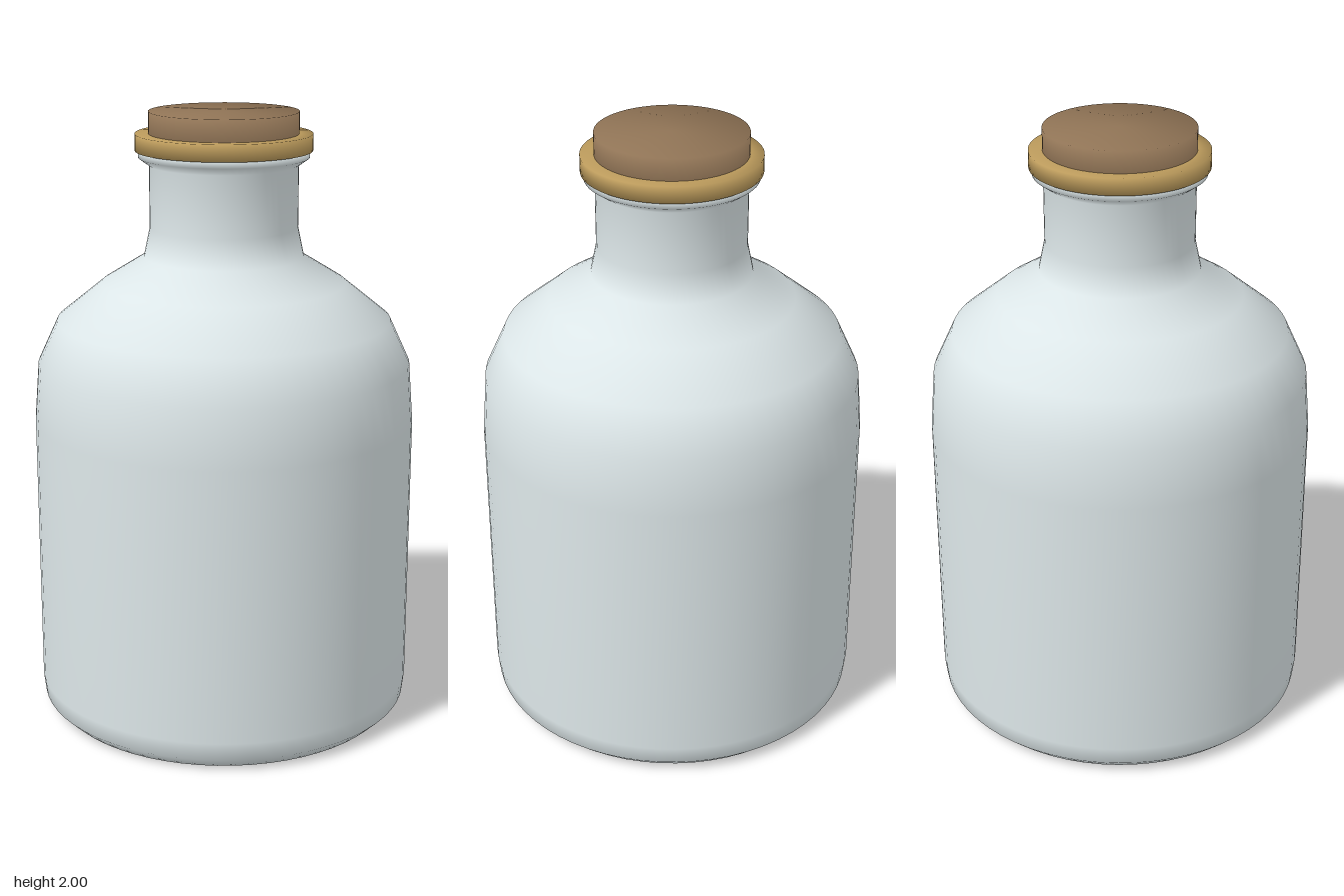
import * as THREE from 'three';

const SEGMENTS = 64;

// Smooth turned part from [radius, height] pairs, listed from bottom to top
function turned(name, color, profile) {
  const points = profile.map(([r, y]) => new THREE.Vector2(r, y));
  const mesh = new THREE.Mesh(
    new THREE.LatheGeometry(points, SEGMENTS),
    new THREE.MeshStandardMaterial({ color })
  );
  mesh.name = name;
  return mesh;
}

export function createModel() {
  const group = new THREE.Group();
  group.name = 'corkedBottle';

  // Glass body: base, wall, shoulder, neck and flared lip
  group.add(turned('bottle', 0xdce6e8, [
    [0, 0], [0.577, 0], [0.618, 0.04], [0.625, 0.1],
    [0.625, 1.0], [0.61, 1.19], [0.545, 1.33], [0.397, 1.45],
    [0.26, 1.535], [0.24, 1.63], [0.24, 1.83],
    [0.275, 1.855], [0.275, 1.88], [0.23, 1.88],
  ]));

  // Stopper seated in the neck
  group.add(turned('cork', 0x8f7355, [
    [0, 1.835], [0.241, 1.835], [0.241, 2], [0, 2],
  ]));

  // Band around the stopper, resting on the lip
  group.add(turned('corkBand', 0xbc9b5c, [
    [0.235, 1.876], [0.285, 1.876], [0.285, 1.93], [0.235, 1.93],
  ]));

  return group;
}
